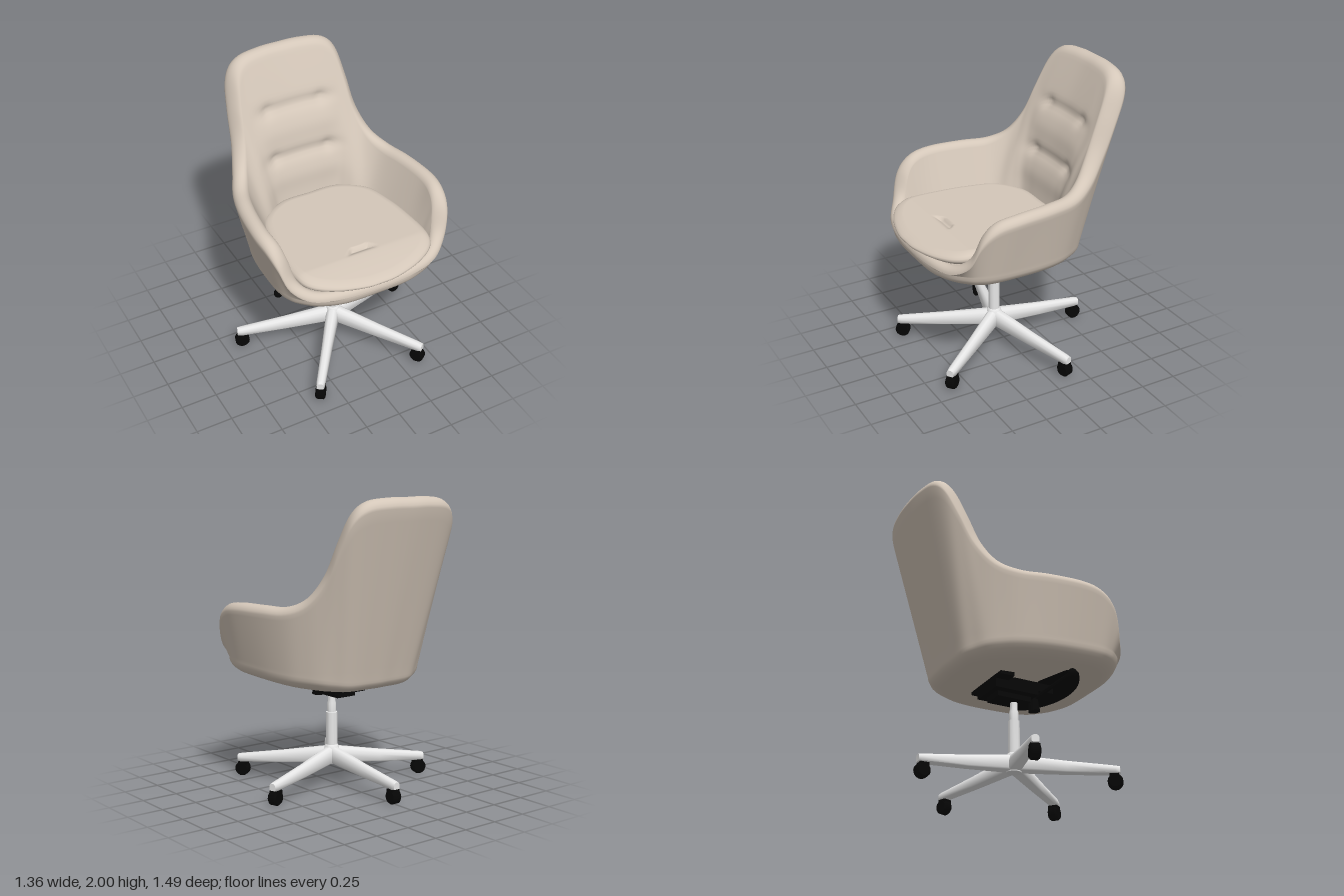
import * as THREE from 'three';
import { mergeVertices, toCreasedNormals } from 'three/addons/utils/BufferGeometryUtils.js';

const { smoothstep } = THREE.MathUtils;

const material = (name, color) => {
  const m = new THREE.MeshStandardMaterial({ color });
  m.name = name;
  return m;
};

// Skin rows of points; every row is a closed loop.
function skin(rows) {
  const n = rows[0].length, index = [];
  for (let i = 0; i < rows.length - 1; i++) {
    for (let j = 0; j < n; j++) {
      const k = (j + 1) % n, a = i * n + j, b = i * n + k, c = a + n, d = b + n;
      index.push(a, b, d, a, d, c);
    }
  }
  const g = new THREE.BufferGeometry();
  g.setAttribute('position', new THREE.Float32BufferAttribute(rows.flat(2), 3));
  g.setIndex(index);
  const welded = mergeVertices(g, 1e-5);
  welded.computeVertexNormals();
  return welded;
}

// Closed smooth loop from half a loop (front centre to back centre), mirrored in x.
function mirroredLoop(half, count) {
  const pts = half.map(p => new THREE.Vector3(...p));
  const other = pts.slice(1, -1).reverse().map(p => new THREE.Vector3(-p.x, p.y, p.z));
  const curve = new THREE.CatmullRomCurve3([...pts, ...other], true, 'catmullrom', 0.5);
  return Array.from({ length: count }, (_, i) => curve.getPoint(i / count));
}

// Stations round the shell: rim x, y, z | outer base x, z | inner base x, z
const STATIONS = [
  [0, 0.922, 0.70, 0, 0.70, 0, 0.60],
  [0.25, 0.927, 0.69, 0.24, 0.69, 0.22, 0.60],
  [0.45, 0.94, 0.64, 0.42, 0.64, 0.38, 0.55],
  [0.57, 1.02, 0.565, 0.52, 0.555, 0.455, 0.48],
  [0.63, 1.18, 0.505, 0.56, 0.485, 0.47, 0.42],
  [0.663, 1.265, 0.405, 0.58, 0.405, 0.46, 0.36],
  [0.678, 1.295, 0.25, 0.585, 0.27, 0.435, 0.22],
  [0.652, 1.30, 0, 0.57, 0.04, 0.405, 0.03],
  [0.60, 1.305, -0.20, 0.53, -0.14, 0.375, -0.07],
  [0.53, 1.37, -0.35, 0.47, -0.26, 0.34, -0.13],
  [0.475, 1.52, -0.47, 0.41, -0.34, 0.29, -0.18],
  [0.45, 1.72, -0.57, 0.34, -0.39, 0.25, -0.22],
  [0.412, 1.90, -0.66, 0.27, -0.43, 0.21, -0.25],
  [0.325, 1.98, -0.71, 0.18, -0.445, 0.15, -0.26],
  [0.16, 2.0, -0.737, 0.09, -0.45, 0.08, -0.26],
  [0, 2.0, -0.745, 0, -0.455, 0, -0.26],
];

// Padding of the backrest: a flush pillow with two tufted creases
function padBack(p, f, onBack) {
  const x = Math.abs(p.x);
  const pillow = 0.045 * onBack * (1 - 0.6 * smoothstep(x, 0.25, 0.45));
  p.z += pillow * Math.sin(Math.PI * f);
  const side = onBack * (1 - smoothstep(x, 0.19, 0.36));
  const button = 1 + 0.7 * Math.exp(-(((x - 0.2) / 0.04) ** 2));
  for (const y of [1.63, 1.31]) {
    p.z -= 0.02 * side * button * Math.exp(-(((p.y - y) / 0.036) ** 2));
    p.z += 0.012 * side * Math.exp(-(((p.y - y + 0.14) / 0.08) ** 2));
  }
}

function shellGeometry() {
  const N = 160, WALL = 14, INNER = 44, CROWN = 0.86 * Math.PI;
  const rim = mirroredLoop(STATIONS.map(s => [s[0], s[1], s[2]]), N);
  const base = mirroredLoop(STATIONS.map(s => [s[3], 0, s[4]]), N);
  const inner = mirroredLoop(STATIONS.map(s => [s[5], 0.88, s[6]]), N);
  const columns = rim.map((T, j) => {
    const B = base[j], I = inner[j], col = [];
    const floor = 0.755 + 0.045 * B.z;
    // the lower edge is rounder along the sides
    const sideways = smoothstep(Math.abs(B.x), 0.2, 0.5);
    const inset = 0.11 + 0.05 * sideways, rise = 0.08 + 0.025 * sideways;
    B.y = floor + rise;
    const toward = new THREE.Vector3(-B.x, 0, 0.1 - B.z).normalize();
    // underside and rounded lower edge
    col.push([0, 0.76, 0.1]);
    const e = B.clone().addScaledVector(toward, inset);
    for (const s of [0.5, 0.8]) col.push([e.x * s, 0.76 + (floor - 0.76) * s, 0.1 + (e.z - 0.1) * s]);
    for (let k = 0; k < 7; k++) {
      const a = k / 7 * Math.PI / 2;
      const p = B.clone().addScaledVector(toward, inset * (1 - Math.sin(a)));
      col.push([p.x, floor + rise * (1 - Math.cos(a)), p.z]);
    }
    // outer wall
    const t = T.y < 1.3 ? 0.09 + 0.02 * smoothstep(T.y, 0.9, 1.2) : 0.11 + 0.03 * (T.y - 1.3) / 0.7;
    const n = new THREE.Vector3(I.x - T.x, 0, I.z - T.z).normalize();
    const outerTop = T.clone().setY(T.y - t / 2);
    for (let k = 0; k < WALL; k++) col.push(B.clone().lerp(outerTop, k / WALL).toArray());
    // rounded rim
    const crown = a => T.clone().addScaledVector(n, t / 2 * (1 - Math.cos(a))).setY(T.y - t / 2 * (1 - Math.sin(a)));
    for (let k = 0; k <= 9; k++) col.push(crown(k / 9 * CROWN).toArray());
    // inner wall
    const innerTop = crown(CROWN);
    const onBack = smoothstep(-I.z, 0.08, 0.2);
    for (let k = 1; k <= INNER; k++) {
      const p = innerTop.clone().lerp(I, k / INNER);
      padBack(p, k / INNER, onBack);
      col.push(p.toArray());
    }
    col.push([0, 0.88, 0.1]);
    return col;
  });
  return skin(columns[0].map((_, i) => columns.map(c => c[i])));
}

function cushionGeometry() {
  const outline = mirroredLoop([[0, 0, 0.742], [0.12, 0, 0.735], [0.3, 0, 0.685], [0.44, 0, 0.60],
    [0.493, 0, 0.48], [0.49, 0, 0.25], [0.465, 0, 0.05], [0.4, 0, -0.16], [0.22, 0, -0.285], [0, 0, -0.295]], 144);
  const profile = [[0, 0.915], [0.8, 0.925], [0.9, 0.932], [0.96, 0.95], [0.99, 0.97], [1, 0.985],
    [0.995, 1.0], [0.975, 1.013], [0.94, 1.022]];
  for (let s = 0.9; s > 0.01; s -= 0.02) profile.push([s, 1.027]);
  profile.push([0, 1.027]);
  return skin(profile.map(([s, y]) => outline.map(p => {
    const x = p.x * s, z = 0.2 + (p.z - 0.2) * s;
    // the front tapers to a thin edge
    const drop = 0.05 * (y - 0.915) / 0.112 * (Math.max(0, z - 0.49) / 0.25) ** 1.2;
    // small wedge-shaped pocket, steep at its rear edge
    const reach = 0.05 + Math.max(0, z - 0.43);
    const pocket = y < 1.02 ? 0 : 0.028 * smoothstep(z, 0.418, 0.434) * (1 - smoothstep(z, 0.432, 0.49))
      * (1 - smoothstep(Math.abs(x), reach, reach + 0.03));
    return [x, y - drop - pocket, z];
  })));
}

// Tapered leg along +z: [distance, half width, bottom, top]
function legGeometry() {
  const sections = [[0, 0.045, 0.15, 0.265], [0.07, 0.045, 0.145, 0.25], [0.35, 0.036, 0.12, 0.203],
    [0.66, 0.03, 0.1, 0.157], [0.688, 0.025, 0.104, 0.151]];
  const ring = ([z, w, b, t]) => {
    const h = t - b;
    return [[w, b + 0.1 * h], [w * 0.95, b + 0.6 * h], [w * 0.75, t - 0.12 * h], [w * 0.35, t],
      [-w * 0.35, t], [-w * 0.75, t - 0.12 * h], [-w * 0.95, b + 0.6 * h], [-w, b + 0.1 * h],
      [-w * 0.8, b], [w * 0.8, b]].map(([x, y]) => [x, y, z]);
  };
  const rows = sections.map(ring);
  const cap = ([z, , b, t]) => Array(10).fill([0, (b + t) / 2, z]);
  return toCreasedNormals(skin([cap(sections[0]), ...rows, cap(sections[4])]), 0.9);
}

// Crescent plate lying flat, drawn in x and z
function crescentGeometry() {
  const s = new THREE.Shape();
  s.moveTo(-0.36, 0.27);
  s.lineTo(-0.14, 0.2);
  s.lineTo(0.14, 0.2);
  s.lineTo(0.36, 0.27);
  s.quadraticCurveTo(0.41, 0.31, 0.36, 0.37);
  s.quadraticCurveTo(0.2, 0.5, 0, 0.5);
  s.quadraticCurveTo(-0.2, 0.5, -0.36, 0.37);
  s.quadraticCurveTo(-0.41, 0.31, -0.36, 0.27);
  return new THREE.ExtrudeGeometry(s, { depth: 0.02, bevelEnabled: false, curveSegments: 12 }).rotateX(Math.PI / 2);
}

export function createModel() {
  const fabric = material('beige upholstery', 0xd4c7b9);
  const metal = material('light metal', 0xe8e8e8);
  const black = material('black plastic', 0x060606);
  const chair = new THREE.Group();
  chair.name = 'officeChair';

  const add = (parent, name, geometry, mat, x = 0, y = 0, z = 0) => {
    const mesh = new THREE.Mesh(geometry, mat);
    mesh.name = name;
    mesh.position.set(x, y, z);
    parent.add(mesh);
    return mesh;
  };
  const box = (...s) => new THREE.BoxGeometry(...s);
  const rod = (rTop, rBottom, h, sides = 24) => new THREE.CylinderGeometry(rTop, rBottom, h, sides);

  add(chair, 'shell', shellGeometry(), fabric);
  add(chair, 'seatCushion', cushionGeometry(), fabric);

  // Tilt mechanism under the seat
  const mechanism = new THREE.Group();
  mechanism.name = 'tiltMechanism';
  chair.add(mechanism);
  add(mechanism, 'frontPlate', crescentGeometry(), black, 0, 0.783, 0);
  add(mechanism, 'rearPlate', box(0.42, 0.035, 0.1), black, 0, 0.742, -0.08);
  add(mechanism, 'housing', box(0.26, 0.09, 0.32), black, 0, 0.71, 0.035);
  add(mechanism, 'frontHousing', box(0.22, 0.07, 0.18), black, 0, 0.74, 0.23);
  add(mechanism, 'lowerHousing', box(0.15, 0.05, 0.25), black, 0, 0.655, 0.045);
  add(mechanism, 'tensionKnob', rod(0.032, 0.04, 0.09), black, 0, 0.645, 0.233).rotation.x = -0.1;
  add(mechanism, 'leverRod', rod(0.014, 0.014, 0.46, 12), black, -0.27, 0.692, 0.235).rotation.z = Math.PI / 2;
  add(mechanism, 'leverKnob', new THREE.SphereGeometry(0.03, 20, 14), black, -0.5, 0.69, 0.235);

  // Column and five-star base
  const base = new THREE.Group();
  base.name = 'base';
  base.position.z = 0.08;
  chair.add(base);
  const profile = [[0, 0.14], [0.05, 0.14], [0.056, 0.17], [0.056, 0.23], [0.048, 0.262], [0.04, 0.272], [0.039, 0.5],
    [0.031, 0.503], [0.031, 0.56], [0.025, 0.585], [0.025, 0.66], [0, 0.66]].map(p => new THREE.Vector2(...p));
  add(base, 'column', toCreasedNormals(new THREE.LatheGeometry(profile, 32), 0.6), metal);

  const legGeo = legGeometry();
  const wheelGeo = toCreasedNormals(new THREE.LatheGeometry([[0, -0.033], [0.04, -0.033], [0.05, -0.022],
    [0.05, 0.022], [0.04, 0.033], [0, 0.033]].map(p => new THREE.Vector2(...p)), 20), 0.6);
  for (let i = 0; i < 5; i++) {
    const arm = new THREE.Group();
    arm.name = 'legWithCaster';
    arm.rotation.y = Math.PI + i * Math.PI * 2 / 5;
    base.add(arm);
    add(arm, 'leg', legGeo, metal);
    add(arm, 'casterHood', box(0.062, 0.05, 0.06), black, 0, 0.075, 0.65);
    add(arm, 'casterWheels', wheelGeo, black, 0, 0.05, 0.655).rotation.z = Math.PI / 2;
  }
  return chair;
}
